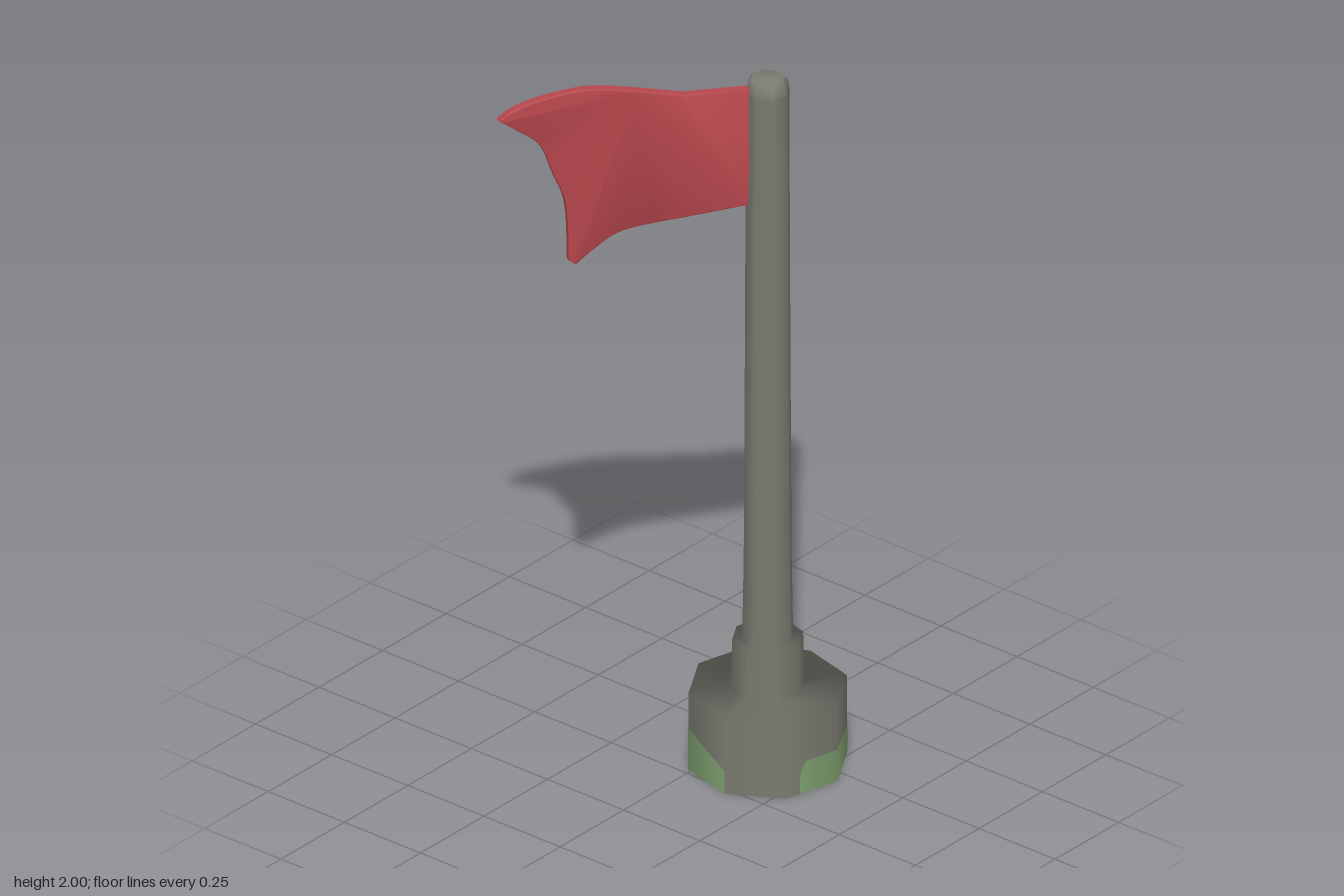
import * as THREE from 'three';
import { toCreasedNormals } from 'three/addons/utils/BufferGeometryUtils.js';

const stone = new THREE.MeshStandardMaterial({ name: 'grey stone', color: 0x7b7b72 });
const moss = new THREE.MeshStandardMaterial({ name: 'moss green', color: 0x7d9f6e });
const cloth = new THREE.MeshStandardMaterial({ name: 'red cloth', color: 0xb8474d });

const SIDES = 8, BASE_R = 0.205, STEP = Math.PI / 4;
const TURN = THREE.MathUtils.degToRad(-8); // angle of corner 0, from +x towards +z

function add(parent, name, geometry, material) {
  const mesh = new THREE.Mesh(geometry, material);
  mesh.name = name;
  parent.add(mesh);
  return mesh;
}

// Eight-sided turned part, profile from bottom to top
function turned(profile) {
  const points = profile.map(([r, y]) => new THREE.Vector2(r, y));
  return new THREE.LatheGeometry(points, SIDES, -TURN);
}

// Shading that runs round the part, ignoring its flat top
function radialNormals(geometry) {
  const { position: p, normal: n } = geometry.attributes;
  for (let i = 0; i < p.count; i++) {
    const l = Math.hypot(p.getX(i), p.getZ(i));
    n.setXYZ(i, p.getX(i) / l, 0, p.getZ(i) / l);
  }
  return geometry;
}

// Point on the octagon, k counts corners and fractions of a side
function onOctagon(k, r) {
  const i = Math.floor(k);
  const corner = (j) => new THREE.Vector3(Math.cos(TURN + j * STEP) * r, 0, Math.sin(TURN + j * STEP) * r);
  return corner(i).lerp(corner(i + 1), k - i);
}

// Moss skin on the base wall from [corner position, height] pairs
function mossStrip(edge) {
  const positions = [], index = [];
  edge.forEach(([k, h], i) => {
    const p = onOctagon(k, BASE_R + 0.0015);
    positions.push(p.x, 0, p.z, p.x, h, p.z);
    if (i) {
      const a = 2 * i - 2;
      index.push(a, a + 1, a + 2, a + 1, a + 3, a + 2);
    }
  });
  const g = new THREE.BufferGeometry();
  g.setAttribute('position', new THREE.Float32BufferAttribute(positions, 3));
  g.setAttribute('normal', new THREE.Float32BufferAttribute(positions.length, 3));
  g.setIndex(index);
  return radialNormals(g);
}

function halfDisc(startCorner) {
  return new THREE.CircleGeometry(BASE_R, 4, TURN + startCorner * STEP, Math.PI).rotateX(Math.PI / 2);
}

function flagGeometry() {
  const shape = new THREE.Shape();
  shape.moveTo(0.03, 1.613);
  shape.lineTo(0.203, 1.598);
  shape.splineThru([[0.335, 1.587], [0.4, 1.571], [0.455, 1.534], [0.5, 1.497]].map((p) => new THREE.Vector2(...p)));
  shape.lineTo(0.52, 1.513);
  shape.splineThru([[0.527, 1.672], [0.56, 1.767], [0.593, 1.852], [0.65, 1.9], [0.702, 1.937]].map((p) => new THREE.Vector2(...p)));
  shape.splineThru([[0.665, 1.963], [0.6, 1.985], [0.5, 2.0], [0.435, 1.998], [0.335, 1.979], [0.217, 1.952]].map((p) => new THREE.Vector2(...p)));
  shape.lineTo(0.03, 1.947);
  const g = new THREE.ExtrudeGeometry(shape, {
    depth: 0.01, curveSegments: 10, bevelThickness: 0.007, bevelSize: 0.006, bevelOffset: -0.006, bevelSegments: 2,
  });
  return toCreasedNormals(g.translate(0, 0, -0.005), 0.7);
}

export function createModel() {
  const model = new THREE.Group();
  model.name = 'flagOnPole';
  const stand = new THREE.Group();
  stand.name = 'stand';
  stand.position.set(0.113, 0, -0.182);
  model.add(stand);

  // Octagonal base, collar and tapering pole
  add(stand, 'base', radialNormals(turned([[BASE_R, 0], [BASE_R, 0.22], [0.08, 0.22]])), stone);
  add(stand, 'collar', radialNormals(turned([[0.095, 0.215], [0.092, 0.36], [0.055, 0.36]])), stone);
  add(stand, 'pole', turned([[0.066, 0.355], [0.062, 0.6], [0.059, 1.2], [0.056, 1.93]]), stone);
  add(stand, 'poleCap', turned([[0.056, 1.93], [0.053, 1.955], [0.042, 1.968], [0, 1.972]]), stone);

  // Underside, half of it overgrown
  add(stand, 'mossyUnderside', halfDisc(2), moss);
  add(stand, 'bareUnderside', halfDisc(6), stone);

  // Moss patches creeping up the wall
  add(stand, 'frontMoss', mossStrip([[2, 0.065], [2.4, 0.085], [3, 0.12], [3.3, 0.13], [4, 0.15], [5, 0.1]]), moss);
  add(stand, 'backMoss', mossStrip([[5, 0.003], [5.4, 0.025], [6, 0.07], [7, 0.075], [8, 0.09], [8.6, 0.09], [8.7, 0.07], [8.73, 0.045]]), moss);

  // Flag flying diagonally forward
  const flag = add(stand, 'flag', flagGeometry(), cloth);
  flag.rotation.y = Math.atan2(-0.803, -0.596);

  return model;
}
